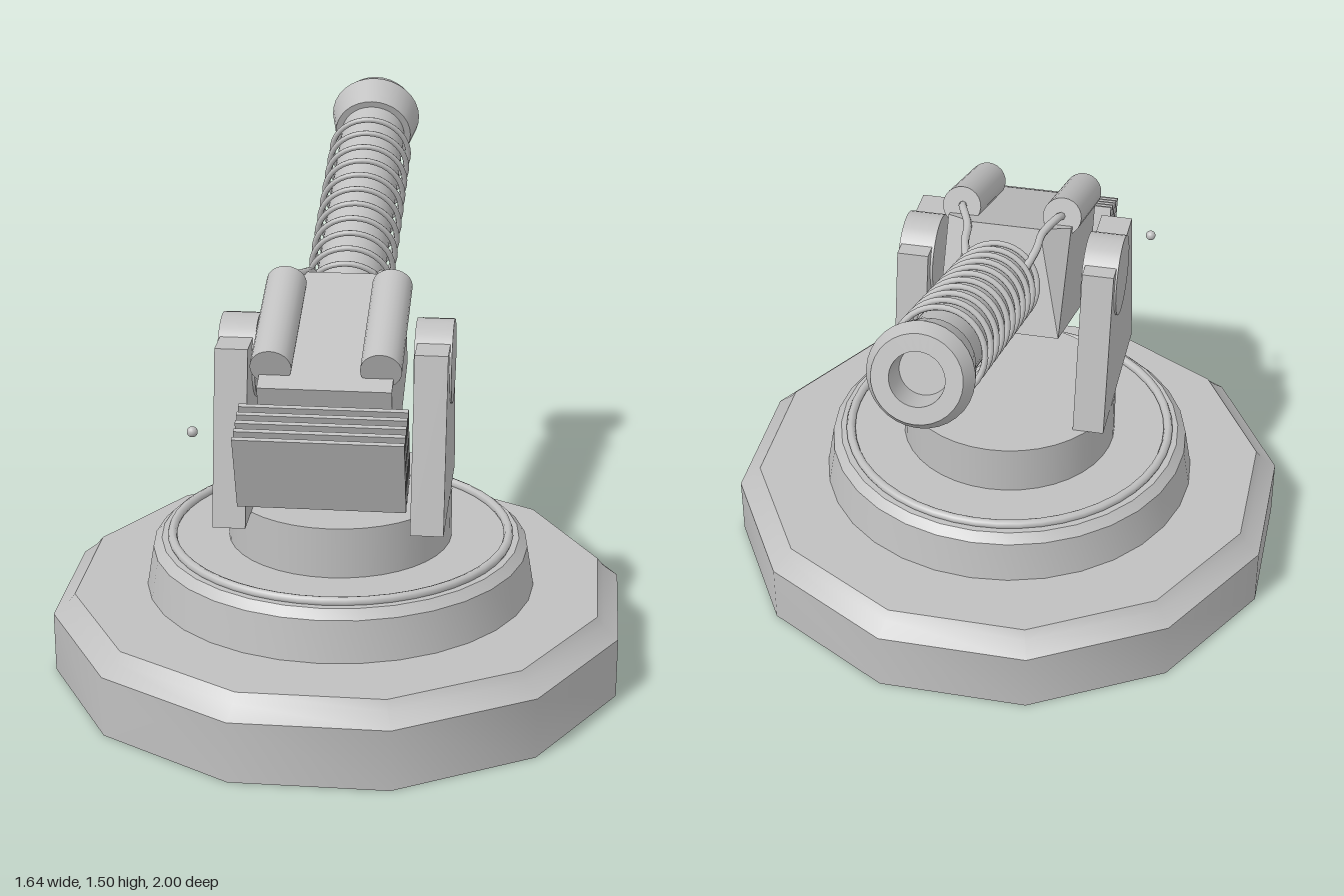
import * as THREE from 'three';
import { toCreasedNormals } from 'three/addons/utils/BufferGeometryUtils.js';
import { ConvexGeometry } from 'three/addons/geometries/ConvexGeometry.js';

export function createModel() {
  const metal = new THREE.MeshStandardMaterial({ color: 0xc0c0c0 });
  metal.name = 'plain grey metal';
  const model = new THREE.Group();
  model.name = 'gunTurret';

  const add = (parent, name, geometry, x = 0, y = 0, z = 0) => {
    const mesh = new THREE.Mesh(geometry, metal);
    mesh.name = name;
    mesh.position.set(x, y, z);
    parent.add(mesh);
    return mesh;
  };
  const lathe = (profile, sides, start = 0) => toCreasedNormals(
    new THREE.LatheGeometry(profile.map(([r, y]) => new THREE.Vector2(r, y)), sides, start), 0.6);
  // Cylinder along z
  const rod = (r, length, sides = 24) =>
    new THREE.CylinderGeometry(r, r, length, sides).rotateX(-Math.PI / 2);

  // Stepped base
  const baseZ = 0.18;
  add(model, 'basePlate', lathe([[0, 0], [0.849, 0], [0.849, 0.18], [0.805, 0.215],
    [0.785, 0.24], [0, 0.24]], 12, Math.PI / 12), 0, 0, baseZ);
  add(model, 'middleTier', lathe([[0, 0.23], [0.572, 0.23], [0.55, 0.36], [0.525, 0.385],
    [0, 0.385]], 32), 0, 0, baseZ);
  add(model, 'tierRing', new THREE.TorusGeometry(0.494, 0.014, 8, 48).rotateX(Math.PI / 2), 0, 0.392, baseZ);
  add(model, 'turntable', new THREE.CylinderGeometry(0.327, 0.327, 0.165, 40), 0, 0.4525, baseZ);

  // Side brackets with round pivots
  const outline = new THREE.Shape([[-0.53, 0.535], [0, 0.535], [-0.1, 1.03], [-0.43, 1.03]]
    .map(([x, y]) => new THREE.Vector2(x, y)));
  for (const side of [1, -1]) {
    const label = side > 0 ? 'left' : 'right';
    const plate = new THREE.ExtrudeGeometry(outline, { depth: 0.093, bevelEnabled: false });
    plate.rotateY(Math.PI / 2).translate(side * 0.277 - 0.0465, 0, 0);
    add(model, label + 'Bracket', plate);
    add(model, label + 'Pivot', new THREE.CylinderGeometry(0.12, 0.12, 0.106, 32).rotateZ(Math.PI / 2),
      side * 0.276, 0.95, 0.24);
  }

  // Tilted gun, with the barrel pointing along local -z
  const gun = new THREE.Group();
  gun.name = 'gun';
  gun.position.set(0, 0.95, 0.24);
  gun.rotation.x = THREE.MathUtils.degToRad(20);
  model.add(gun);

  // Breech block with cut upper corners beside the barrel
  const corners = [];
  for (const s of [1, -1]) {
    for (const [x, y, z] of [[0.183, -0.165, 0.33], [0.183, 0.155, 0.33], [0.18, -0.165, -0.19],
      [0.183, 0.155, -0.13], [0.1, 0.155, -0.19]]) corners.push(new THREE.Vector3(s * x, y, z));
  }
  add(gun, 'breechBlock', new ConvexGeometry(corners));

  // Cooling fins
  for (let i = 0; i < 5; i++) {
    add(gun, 'coolingFin', new THREE.BoxGeometry(0.46, 0.24, 0.013), 0, 0, 0.362 + i * 0.034);
  }

  // Barrel, hollow muzzle and coil rings
  add(gun, 'barrel', rod(0.1, 1.0, 32), 0, 0, -0.67);
  const muzzle = lathe([[0, 1.13], [0.12, 1.13], [0.14, 1.235], [0.118, 1.278],
    [0.072, 1.278], [0.066, 1.19], [0, 1.19]], 32);
  add(gun, 'muzzle', muzzle.rotateX(-Math.PI / 2));
  const rings = 11;
  for (let i = 0; i < rings; i++) {
    add(gun, 'coilRing', new THREE.TorusGeometry(0.121, 0.0085, 8, 36), 0, 0, -0.278 - i * 0.747 / (rings - 1));
  }

  // Recoil canisters and hoses
  for (const s of [1, -1]) {
    const label = s > 0 ? 'left' : 'right';
    add(gun, label + 'Canister', rod(0.057, 0.38), s * 0.15, 0.18, 0.083);
    const path = new THREE.CatmullRomCurve3([[0.15, 0.18, -0.09], [0.142, 0.182, -0.13],
      [0.11, 0.145, -0.2], [0.105, 0.11, -0.25], [0.085, 0.06, -0.3]]
      .map(([x, y, z]) => new THREE.Vector3(s * x, y, z)));
    add(gun, label + 'Hose', new THREE.TubeGeometry(path, 20, 0.012, 8));
  }

  // Small ball off to the right
  add(model, 'smallBall', new THREE.SphereGeometry(0.015, 16, 12), -0.358, 0.855, 0.617);
  return model;
}
